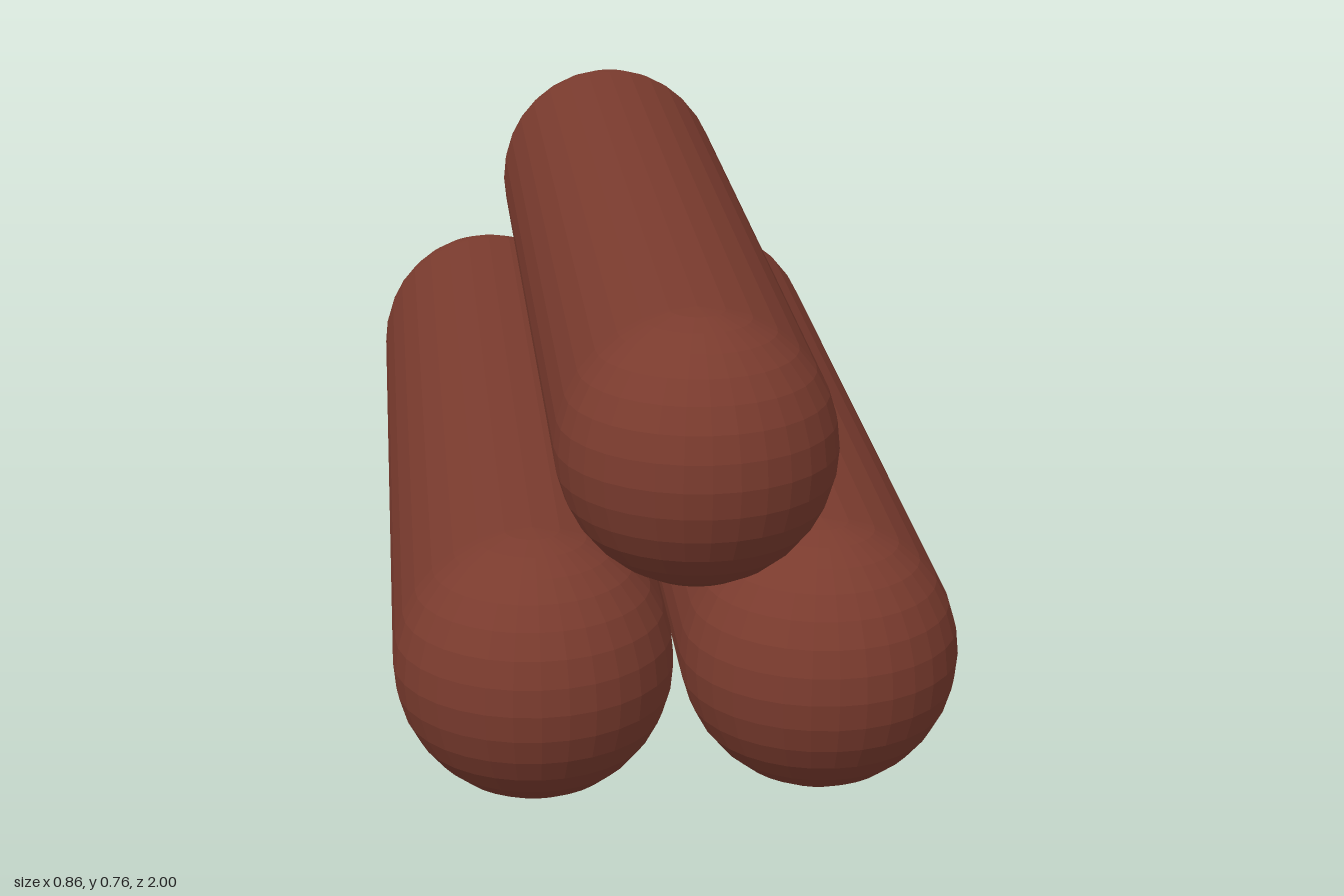
import * as THREE from 'three';

const RADIUS = 0.212;
const HALF_LENGTH = 1 - RADIUS;

export function createModel() {
  const model = new THREE.Group();
  model.name = 'logStack';
  const brown = new THREE.MeshStandardMaterial({ color: 0x7a3b2e, flatShading: true });
  brown.name = 'reddish brown';

  // Straight shaft along z, and half-sphere ends with their poles upright
  const shaft = new THREE.CylinderGeometry(RADIUS, RADIUS, HALF_LENGTH * 2, 32, 1, true).rotateX(Math.PI / 2);
  const frontCap = new THREE.SphereGeometry(RADIUS, 16, 16, 0, Math.PI).translate(0, 0, HALF_LENGTH);
  const backCap = new THREE.SphereGeometry(RADIUS, 16, 16, Math.PI, Math.PI).translate(0, 0, -HALF_LENGTH);

  function addLog(name, x, y) {
    const log = new THREE.Group();
    log.name = name;
    for (const [part, geometry] of [['shaft', shaft], ['frontEnd', frontCap], ['backEnd', backCap]]) {
      const mesh = new THREE.Mesh(geometry, brown);
      mesh.name = part;
      log.add(mesh);
    }
    log.position.set(x, y, 0);
    model.add(log);
  }

  // Two logs side by side, a third resting on top slightly off centre
  addLog('lowerRightLog', -0.217, RADIUS);
  addLog('lowerLeftLog', 0.217, RADIUS);
  addLog('topLog', 0.028, 0.549);

  return model;
}
